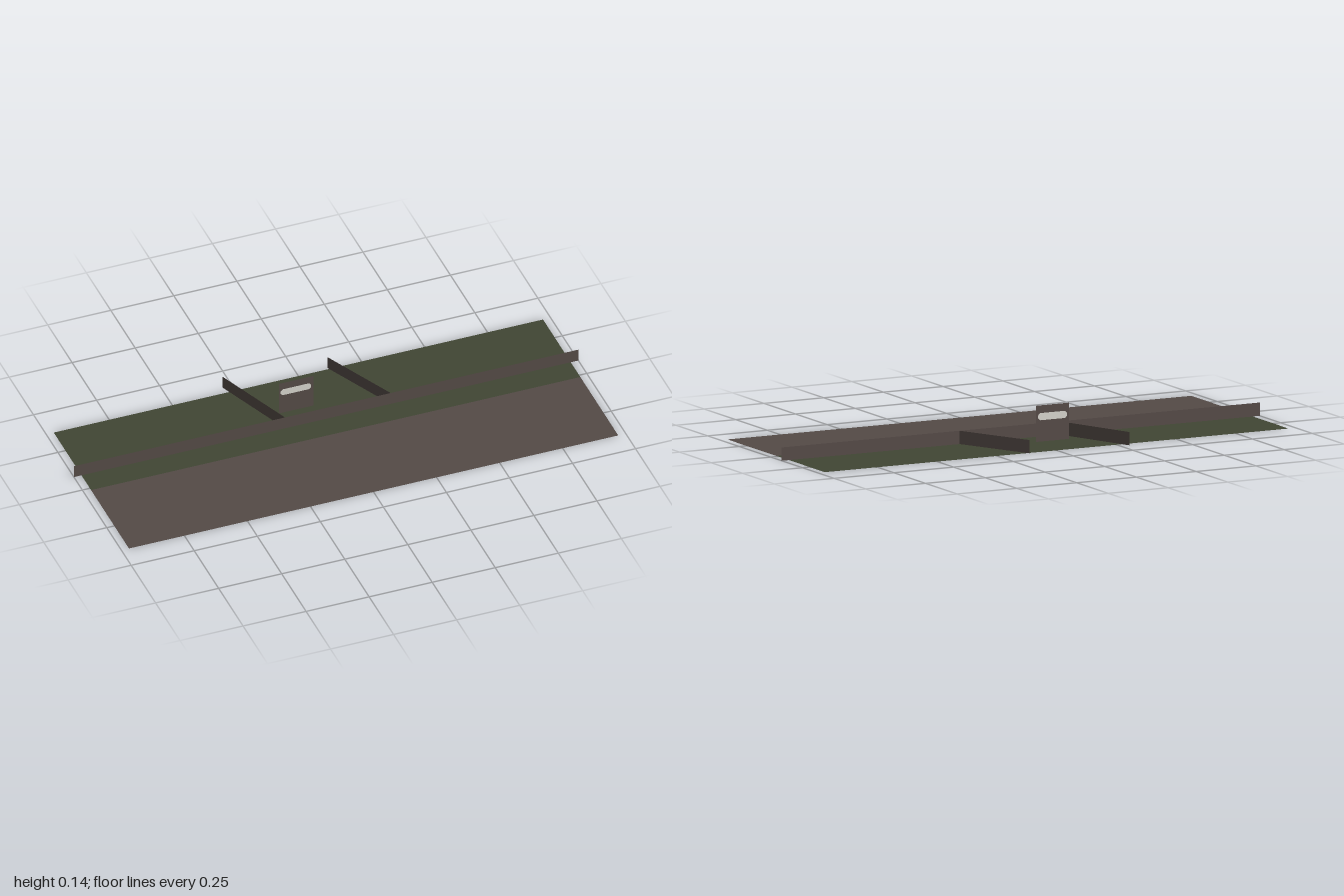
import * as THREE from 'three';

const paint = (name, color) => {
  const m = new THREE.MeshStandardMaterial({ color, side: THREE.DoubleSide });
  m.name = name;
  return m;
};

export function createModel() {
  const brown = paint('earth brown', 0x544a46);
  const green = paint('grass green', 0x414634);
  const pale = paint('pale grey', 0xd4d2ca);
  const model = new THREE.Group();

  const add = (name, geometry, material, x, y, z) => {
    const mesh = new THREE.Mesh(geometry, material);
    mesh.name = name;
    mesh.position.set(x, y, z);
    model.add(mesh);
    return mesh;
  };

  // Flat ground sheet, from zBack to zFront
  const ground = (name, zBack, zFront, material) =>
    add(name, new THREE.PlaneGeometry(1.94, zFront - zBack).rotateX(-Math.PI / 2),
      material, 0, 0, (zBack + zFront) / 2);
  ground('grassStrip', -0.37, 0.012, green);
  ground('pavedStrip', 0.012, 0.4, brown);

  // Thin upright wall between two ground points
  const H = 0.05;
  const wall = (name, [x1, z1], [x2, z2]) => {
    const dx = x2 - x1, dz = z2 - z1;
    add(name, new THREE.PlaneGeometry(Math.hypot(dx, dz), H), brown,
      (x1 + x2) / 2, H / 2, (z1 + z2) / 2).rotation.y = Math.atan2(-dz, dx);
  };
  const zFence = -0.086;
  wall('longFence', [-1, zFence], [1, zFence]);
  wall('rightSideWall', [-0.163, zFence], [-0.287, -0.404]);
  wall('leftSideWall', [0.256, zFence], [0.118, -0.378]);

  // Sign board with a chamfered pale panel filling its opening
  const outline = (x0, x1, y0, y1, c) => [
    [x0 + c, y0], [x1 - c, y0], [x1, y0 + c], [x1, y1 - c],
    [x1 - c, y1], [x0 + c, y1], [x0, y1 - c], [x0, y0 + c],
  ].map(([x, y]) => new THREE.Vector2(x, y));
  const panel = outline(-0.144, -0.023, 0.08, 0.107, 0.008);
  const board = new THREE.Shape([[-0.151, 0], [-0.014, 0], [-0.014, 0.136], [-0.151, 0.136]]
    .map(([x, y]) => new THREE.Vector2(x, y)));
  board.holes.push(new THREE.Path(panel));
  const zSign = -0.18;
  add('signBoard', new THREE.ShapeGeometry(board), brown, 0, 0, zSign);
  add('signPanel', new THREE.ShapeGeometry(new THREE.Shape(panel)), pale, 0, 0, zSign);

  return model;
}
